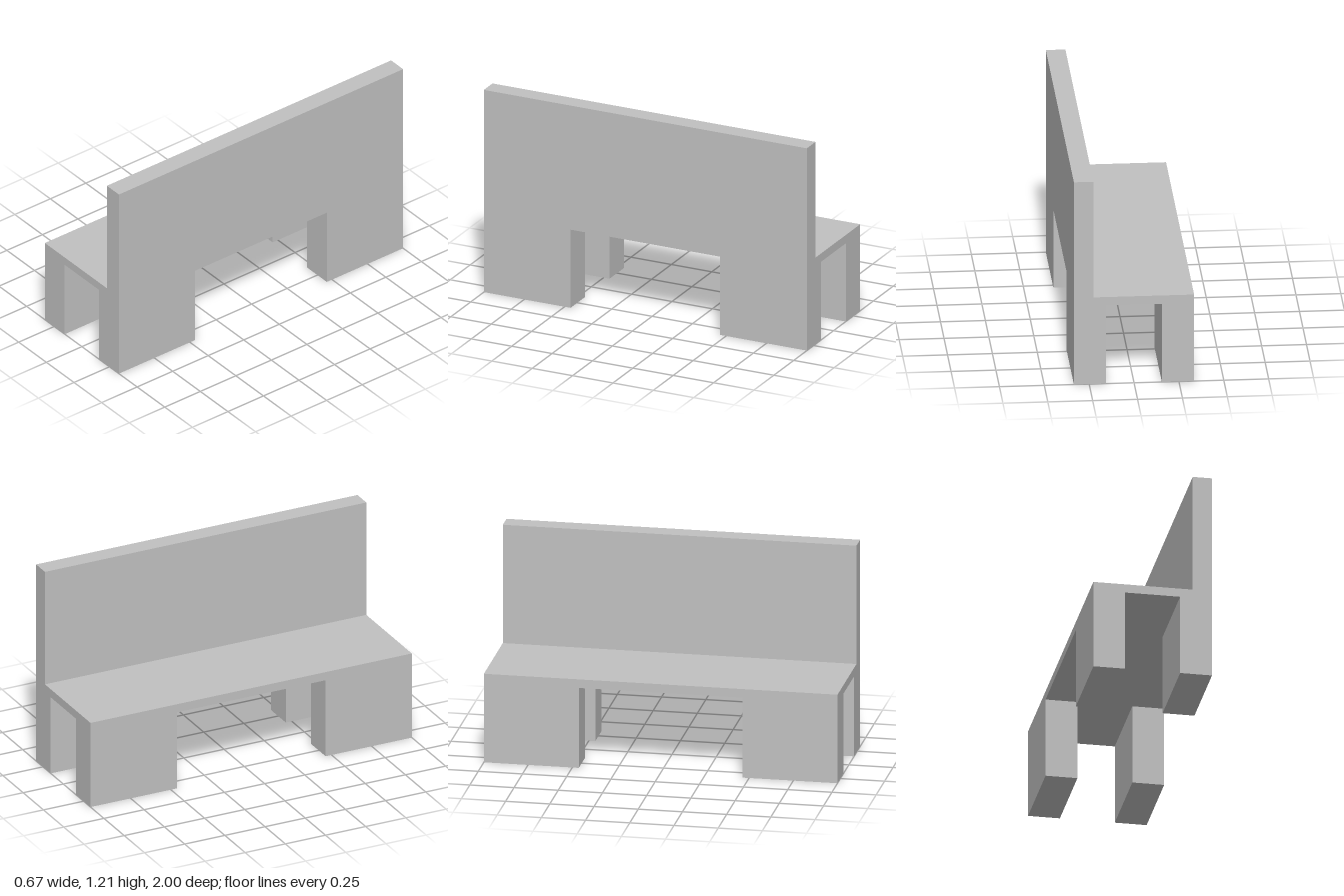
import * as THREE from 'three';

const HALF_WIDTH = 0.335, HALF_LENGTH = 1;
const LEG_TOP = 0.467, SEAT_TOP = 0.517, BACK_TOP = 1.208;
const LEG_INNER_X = 0.155, LEG_INNER_Z = 0.463, BACK_FRONT_X = 0.226;

export function createModel() {
  const bench = new THREE.Group();
  bench.name = 'bench';
  const grey = new THREE.MeshStandardMaterial({ color: 0xc0c0c0 });
  grey.name = 'light grey';

  // Box spanning two opposite corners
  function block(name, [x0, y0, z0], [x1, y1, z1]) {
    const mesh = new THREE.Mesh(new THREE.BoxGeometry(x1 - x0, y1 - y0, z1 - z0), grey);
    mesh.position.set((x0 + x1) / 2, (y0 + y1) / 2, (z0 + z1) / 2);
    mesh.name = name;
    bench.add(mesh);
  }

  // Seat slab and upright backrest along one long side
  block('seat', [-HALF_WIDTH, LEG_TOP, -HALF_LENGTH], [HALF_WIDTH, SEAT_TOP, HALF_LENGTH]);
  block('backrest', [BACK_FRONT_X, SEAT_TOP, -HALF_LENGTH], [HALF_WIDTH, BACK_TOP, HALF_LENGTH]);

  // Four block legs, one at each corner
  for (const [side, x0, x1] of [['right', -HALF_WIDTH, -LEG_INNER_X], ['left', LEG_INNER_X, HALF_WIDTH]]) {
    for (const [end, z0, z1] of [['front', LEG_INNER_Z, HALF_LENGTH], ['back', -HALF_LENGTH, -LEG_INNER_Z]]) {
      block(`${end} ${side} leg`, [x0, 0, z0], [x1, LEG_TOP, z1]);
    }
  }
  return bench;
}
